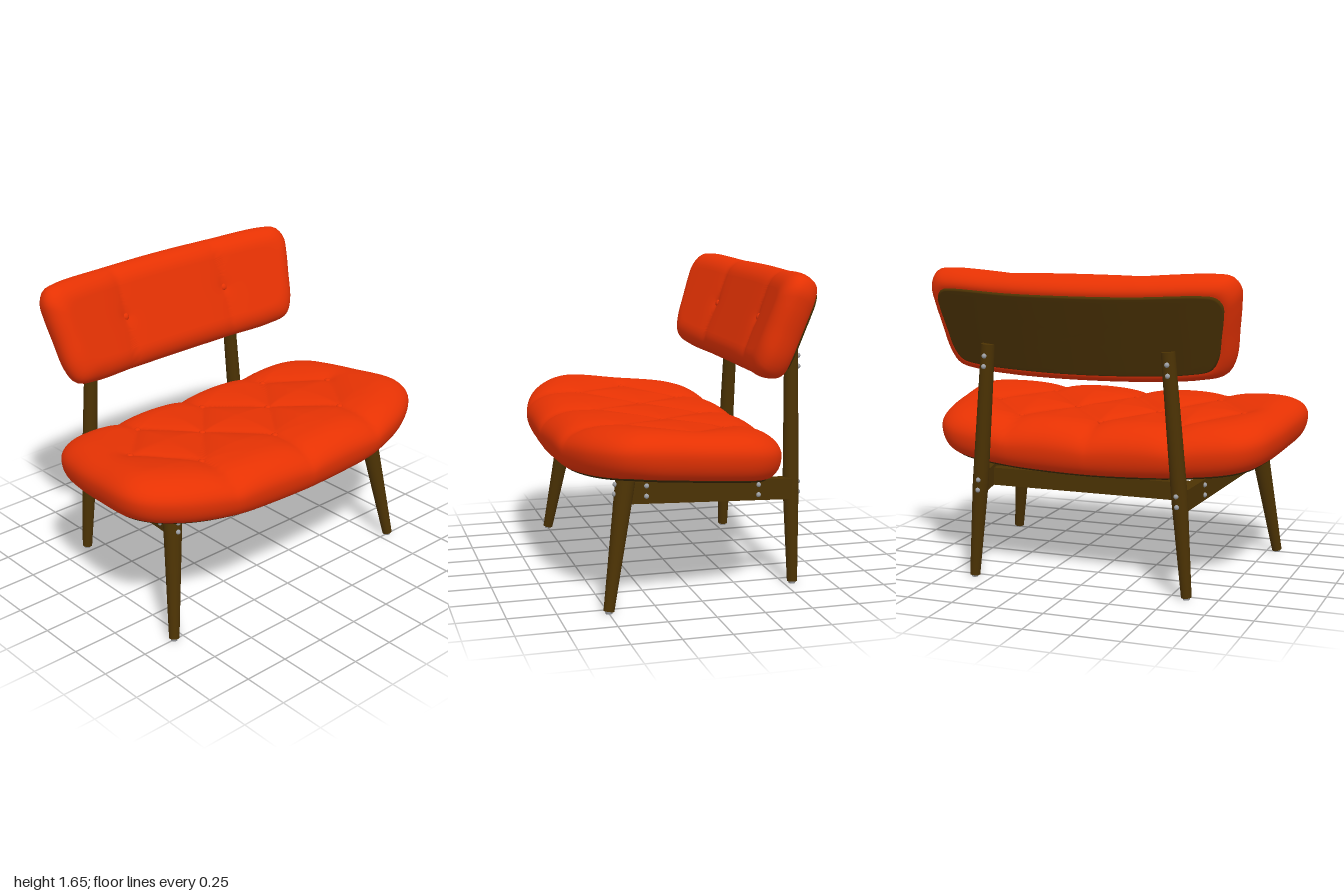
import * as THREE from 'three';

const mat = (name, color, extra = {}) => Object.assign(new THREE.MeshStandardMaterial({ color, ...extra }), { name });
const fabric = mat('orange red fabric', 0xe63203);
const wood = mat('dark brown wood', 0x4b3203);
const under = mat('seat underside brown', 0x3a2803);
const panelGrey = mat('grey panel', 0x868686, { side: THREE.DoubleSide });
const metal = mat('screw metal', 0x9c9ea2);

const V = (x, y, z) => new THREE.Vector3(x, y, z);

function add(parent, name, geometry, material) {
  const mesh = new THREE.Mesh(geometry, material);
  mesh.name = name;
  parent.add(mesh);
  return mesh;
}

// Closed plan outline from one half, running front -> +x -> back
function outline(half, n = 160) {
  const mirrored = half.slice(1, -1).reverse().map(([x, z]) => [-x, z]);
  const pts = [...half, ...mirrored].map(([x, z]) => V(x, 0, z));
  return new THREE.CatmullRomCurve3(pts, true, 'centripetal').getSpacedPoints(n).slice(0, n);
}

// Cushion or plate: rings run from the top centre over a rounded rim to the bottom centre
function pillow(plan, { shrink = 0, rTop, rBot, top, bot, flat = 40, round = 12 }) {
  const n = plan.length, pos = [], idx = [];
  const box = new THREE.Box3().setFromPoints(plan);
  const cz = (box.min.z + box.max.z) / 2, hx = box.max.x, hz = box.max.z - cz;
  // Insets scale each axis on its own, so all four sides move in equally
  const ring = (scale, inset, height) => {
    for (const p of plan) {
      const x = p.x * scale * (1 - (shrink + inset) / hx);
      const z = cz + (p.z - cz) * scale * (1 - (shrink + inset) / hz);
      pos.push(x, height(x, z), z);
    }
  };
  const mid = (x, z) => (top(x, z) + bot(x, z)) / 2;
  for (let j = 0; j <= flat; j++) ring(Math.max(j / flat, 0.001), rTop, top);
  for (let j = 1; j <= round; j++) {
    const t = (j / round) * Math.PI / 2;
    ring(1, rTop * (1 - Math.sin(t)), (x, z) => THREE.MathUtils.lerp(mid(x, z), top(x, z), Math.cos(t)));
  }
  for (let j = 1; j <= round; j++) {
    const t = (1 - j / round) * Math.PI / 2;
    ring(1, rBot * (1 - Math.sin(t)), (x, z) => THREE.MathUtils.lerp(mid(x, z), bot(x, z), Math.cos(t)));
  }
  for (let j = 9; j >= 0; j--) ring(Math.max(j / 10, 0.001), rBot, bot);
  const rows = pos.length / 3 / n;
  for (let j = 0; j < rows - 1; j++) {
    for (let i = 0; i < n; i++) {
      const a = j * n + i, b = j * n + (i + 1) % n;
      idx.push(a, a + n, b, b, a + n, b + n);
    }
  }
  const g = new THREE.BufferGeometry();
  g.setAttribute('position', new THREE.Float32BufferAttribute(pos, 3));
  g.setIndex(idx);
  g.computeVertexNormals();
  return g;
}

// Tapered round bar between two points
function rod(parent, name, a, b, ra, rb, material) {
  const mesh = add(parent, name, new THREE.CylinderGeometry(rb, ra, a.distanceTo(b), 24), material);
  mesh.position.copy(a).add(b).multiplyScalar(0.5);
  mesh.quaternion.setFromUnitVectors(V(0, 1, 0), b.clone().sub(a).normalize());
}

// Rectangular rail between two points
function rail(parent, name, a, b, thick, height) {
  const mesh = add(parent, name, new THREE.BoxGeometry(thick, height, a.distanceTo(b)), wood);
  mesh.position.copy(a).add(b).multiplyScalar(0.5);
  mesh.lookAt(b);
}

function stud(parent, name, p, r, material, squash = 1) {
  const mesh = add(parent, name, new THREE.SphereGeometry(r, 14, 10), material);
  mesh.position.copy(p);
  mesh.scale.y = squash;
}

function distToSegment(x, z, [ax, az, bx, bz]) {
  const dx = bx - ax, dz = bz - az;
  const t = THREE.MathUtils.clamp(((x - ax) * dx + (z - az) * dz) / (dx * dx + dz * dz), 0, 1);
  return Math.hypot(x - ax - t * dx, z - az - t * dz);
}

function buildSeat() {
  const seat = new THREE.Group();
  seat.name = 'seat';
  const plan = outline([[0, 0.685], [0.25, 0.682], [0.5, 0.668], [0.78, 0.59], [0.95, 0.475], [1, 0.36], [0.985, 0.1],
    [0.955, -0.12], [0.9, -0.3], [0.8, -0.395], [0.5, -0.45], [0.25, -0.46], [0, -0.465]]);
  // Tufting seams on the +x half, mirrored through |x|
  const seams = [[0, 0.38, 0.24, 0.07], [0.24, 0.07, 0.5, 0.37], [0.5, 0.37, 0.72, 0.06], [0, -0.21, 0.24, 0.07],
    [0.24, 0.07, 0.46, -0.21], [0.46, -0.21, 0.72, 0.06], [0, 0.38, 0, 0.7], [0.5, 0.37, 0.5, 0.7],
    [0, -0.21, 0, -0.5], [0.46, -0.21, 0.46, -0.5]];
  const buttons = [[0, 0.38], [0.5, 0.37], [0.24, 0.07], [0.72, 0.06], [0, -0.21], [0.46, -0.21]];
  const base = (x, z) => 0.64 + 0.07 * x * x + 0.09 * (Math.min(z, 0.4) - 0.4);
  const top = (x, z) => {
    const ax = Math.abs(x);
    const d = Math.min(...seams.map(s => distToSegment(ax, z, s)));
    const b = Math.min(...buttons.map(([bx, bz]) => Math.hypot(ax - bx, z - bz)));
    return 0.902 + 0.045 * x * x + 0.08 * (Math.min(z, 0.35) - 0.35)
      - 0.035 * Math.exp(-d / 0.09) - 0.008 * Math.exp(-b / 0.035);
  };
  add(seat, 'seatCushion', pillow(plan, { rTop: 0.19, rBot: 0.08, top, bot: base, flat: 56 }), fabric);
  add(seat, 'seatBase', pillow(plan, { shrink: 0.065, rTop: 0.01, rBot: 0.015, flat: 10, round: 4,
    top: (x, z) => base(x, z) + 0.02, bot: (x, z) => base(x, z) - 0.009 }), under);
  for (const [x, z] of buttons) {
    for (const s of x ? [1, -1] : [1]) stud(seat, 'seatButton', V(s * x, top(x, z) + 0.004, z), 0.019, fabric, 0.6);
  }
  // Thin panel following the curved underside
  const panel = new THREE.PlaneGeometry(0.72, 0.36, 16, 6).rotateX(Math.PI / 2);
  const p = panel.attributes.position;
  for (let i = 0; i < p.count; i++) p.setY(i, base(p.getX(i), p.getZ(i)) - 0.015);
  panel.computeVertexNormals();
  add(seat, 'undersidePanel', panel, panelGrey);
  return seat;
}

// Built lying flat with its face up, then tilted upright
function buildBackrest() {
  const back = new THREE.Group();
  back.name = 'backrest';
  const plan = outline([[0, 0.285], [0.35, 0.285], [0.62, 0.283], [0.74, 0.262], [0.785, 0.19], [0.815, 0.02], [0.835, -0.12],
    [0.837, -0.19], [0.8, -0.25], [0.72, -0.27], [0.35, -0.28], [0, -0.285]]);
  const rear = x => 0.16 * x * x;
  const front = (x, z) => {
    const d = Math.abs(Math.abs(x) - 0.35);
    return 0.205 + 0.19 * Math.max(0, Math.abs(x) - 0.35) - 0.01 * Math.exp(-d / 0.05)
      - 0.012 * Math.exp(-Math.hypot(d, z) / 0.035);
  };
  add(back, 'backCushion', pillow(plan, { rTop: 0.11, rBot: 0.06, top: front, bot: rear }), fabric);
  add(back, 'backPlate', pillow(plan, { shrink: 0.065, rTop: 0.008, rBot: 0.01, flat: 10, round: 4,
    top: x => rear(x) + 0.02, bot: x => rear(x) - 0.012 }), wood);
  for (const s of [1, -1]) stud(back, 'backButton', V(s * 0.35, front(0.35, 0) + 0.004, 0), 0.019, fabric, 0.6);
  back.rotation.x = Math.PI / 2 - 0.36;
  back.position.set(0, 1.325, -0.6);
  return back;
}

function buildFrame() {
  const frame = new THREE.Group();
  frame.name = 'frame';
  for (const s of [1, -1]) {
    // Legs with glides
    rod(frame, 'frontLeg', V(s * 0.808, 0.012, 0.5), V(s * 0.715, 0.65, 0.39), 0.027, 0.05, wood);
    rod(frame, 'backLegLower', V(s * 0.593, 0.012, -0.545), V(s * 0.552, 0.52, -0.543), 0.027, 0.042, wood);
    rod(frame, 'backLegUpper', V(s * 0.552, 0.52, -0.543), V(s * 0.49, 1.26, -0.555), 0.042, 0.036, wood);
    rod(frame, 'frontGlide', V(s * 0.808, 0, 0.5), V(s * 0.808, 0.014, 0.5), 0.017, 0.02, metal);
    rod(frame, 'backGlide', V(s * 0.593, 0, -0.545), V(s * 0.593, 0.014, -0.545), 0.017, 0.02, metal);
    rail(frame, 'sideRail', V(s * 0.565, 0.513, -0.53), V(s * 0.69, 0.58, 0.38), 0.06, 0.11);
    // Screws
    const screws = [
      [0.728, 0.585, 0.449], [0.722, 0.632, 0.443], [0.55, 0.485, -0.584], [0.546, 0.54, -0.584],
      [0.5, 1.145, -0.592], [0.496, 1.2, -0.592],
      [0.708, 0.557, 0.28], [0.708, 0.61, 0.28], [0.622, 0.502, -0.34], [0.622, 0.555, -0.34]];
    for (const [x, y, z] of screws) stud(frame, 'screw', V(s * x, y, z), 0.013, metal);
  }
  rail(frame, 'frontRail', V(-0.68, 0.577, 0.28), V(0.68, 0.577, 0.28), 0.06, 0.095);
  rail(frame, 'backRail', V(-0.59, 0.515, -0.34), V(0.59, 0.515, -0.34), 0.06, 0.095);
  return frame;
}

export function createModel() {
  const model = new THREE.Group();
  model.name = 'loungeBench';
  model.add(buildSeat(), buildBackrest(), buildFrame());
  return model;
}
